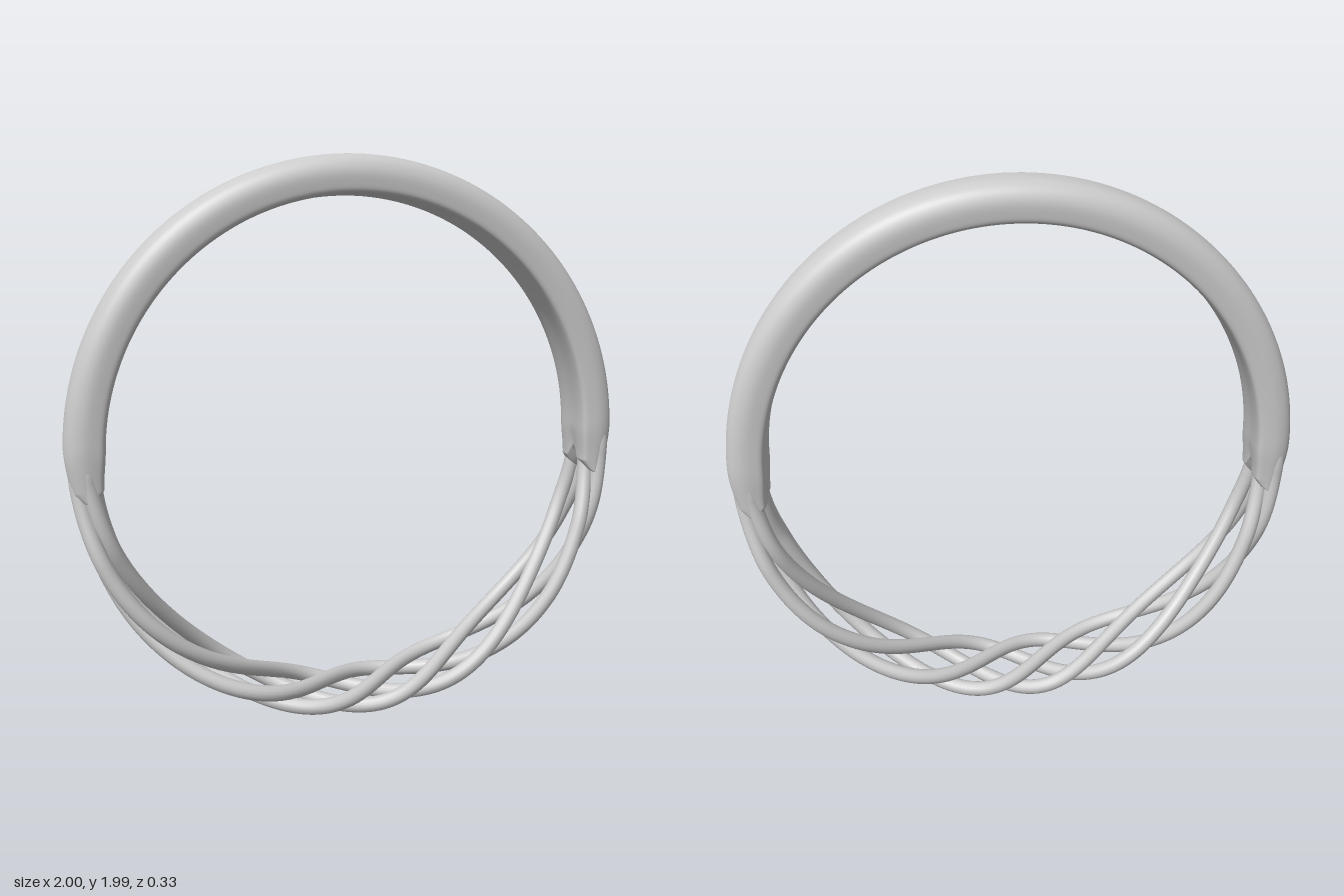
import * as THREE from 'three';

const RAD = Math.PI / 180;
const CENTER_Y = 1;
const { smoothstep } = THREE.MathUtils;

// Smooth interpolation through [position, value] keys
function keyed(keys, t) {
  for (let i = 1; i < keys.length; i++) {
    const [a, va] = keys[i - 1], [b, vb] = keys[i];
    if (t <= b) return va + (vb - va) * smoothstep(t, a, b);
  }
  return keys[keys.length - 1][1];
}

// Point on the ring; t is degrees from the lowest point, positive towards +x
function ringPoint(t, r, z) {
  return new THREE.Vector3(r * Math.sin(t * RAD), CENTER_Y - r * Math.cos(t * RAD), z);
}

const WIDTH = [[0, 0.138], [50, 0.132], [68, 0.124], [86, 0.08], [95, 0.065]];
const DEPTH = [[0, 0.034], [50, 0.042], [84, 0.03], [95, 0.025]];
const STRAND_END = 94;

// One strand of the twist, winding faster towards the middle
class StrandCurve extends THREE.Curve {
  constructor(phase) {
    super();
    this.phase = phase;
  }
  getPoint(u, target = new THREE.Vector3()) {
    const t = (u * 2 - 1) * STRAND_END, s = Math.abs(t);
    const phi = (148 * Math.asinh(t / 25)) * RAD + this.phase;
    const r = 0.936 + keyed(DEPTH, s) * Math.cos(phi);
    return target.copy(ringPoint(t, r, keyed(WIDTH, s) * Math.sin(phi)));
  }
}

// Band: domed outside, flat inside, forked where the strands emerge
function bandGeometry() {
  const half = [[0.055, 0.994], [0.086, 0.975], [0.102, 0.94], [0.102, 0.9], [0.096, 0.874], [0.082, 0.866]];
  const mirrored = half.map(([z, r]) => [-z, r]).reverse();
  const outline = [[0, 1], ...half, [0, 0.865], ...mirrored]
    .map(([z, r]) => new THREE.Vector3(z, r, 0));
  const sides = 64, steps = 180, start = 81, mid = 0.935;
  const profile = new THREE.CatmullRomCurve3(outline, true).getPoints(sides);
  const pos = [], index = [];
  for (let i = 0; i <= steps; i++) {
    // Rings are packed more densely near both ends
    const u = i / steps;
    const v = u - 0.85 * Math.sin(2 * Math.PI * u) / (2 * Math.PI);
    const t = start + (360 - 2 * start) * v;
    const d = Math.min(t - start, 360 - start - t);
    const tip = Math.sqrt(Math.min(1, d / 2.5));
    const thick = tip * (0.76 + 0.24 * smoothstep(d, 0, 11));
    const wide = 0.9 + 0.1 * smoothstep(d, 0, 12);
    const inward = Math.sign(180 - t) * (1 - smoothstep(d, 0, 14));
    for (const p of profile) {
      const notch = 3.5 * inward * (1 - smoothstep(Math.abs(p.x), 0, 0.045));
      pos.push(...ringPoint(t + notch, mid + (p.y - mid) * thick, p.x * wide).toArray());
    }
  }
  const row = sides + 1;
  for (let i = 0; i < steps; i++) {
    for (let j = 0; j < sides; j++) {
      const a = i * row + j, b = a + row;
      index.push(a, a + 1, b, b, a + 1, b + 1);
    }
  }
  const geo = new THREE.BufferGeometry();
  geo.setAttribute('position', new THREE.Float32BufferAttribute(pos, 3));
  geo.setIndex(index);
  geo.computeVertexNormals();
  // Share normals across the seam of each ring
  const n = geo.attributes.normal;
  for (let i = 0; i <= steps; i++) {
    const a = i * row, b = a + sides;
    const v = new THREE.Vector3().fromBufferAttribute(n, a)
      .add(new THREE.Vector3().fromBufferAttribute(n, b)).normalize();
    n.setXYZ(a, v.x, v.y, v.z);
    n.setXYZ(b, v.x, v.y, v.z);
  }
  return geo;
}

export function createModel() {
  const group = new THREE.Group();
  group.name = 'twistedRing';
  const material = new THREE.MeshStandardMaterial({ color: 0xcccccc, side: THREE.DoubleSide });

  const band = new THREE.Mesh(bandGeometry(), material);
  band.name = 'band';
  group.add(band);

  // Four strands a quarter turn apart, their ends buried in the band
  const strands = new THREE.Group();
  strands.name = 'strands';
  for (let k = 0; k < 4; k++) {
    const curve = new StrandCurve((k + 0.5) * Math.PI / 2);
    const strand = new THREE.Mesh(new THREE.TubeGeometry(curve, 220, 0.028, 14), material);
    strand.name = `strand${k + 1}`;
    strands.add(strand);
  }
  group.add(strands);
  return group;
}
